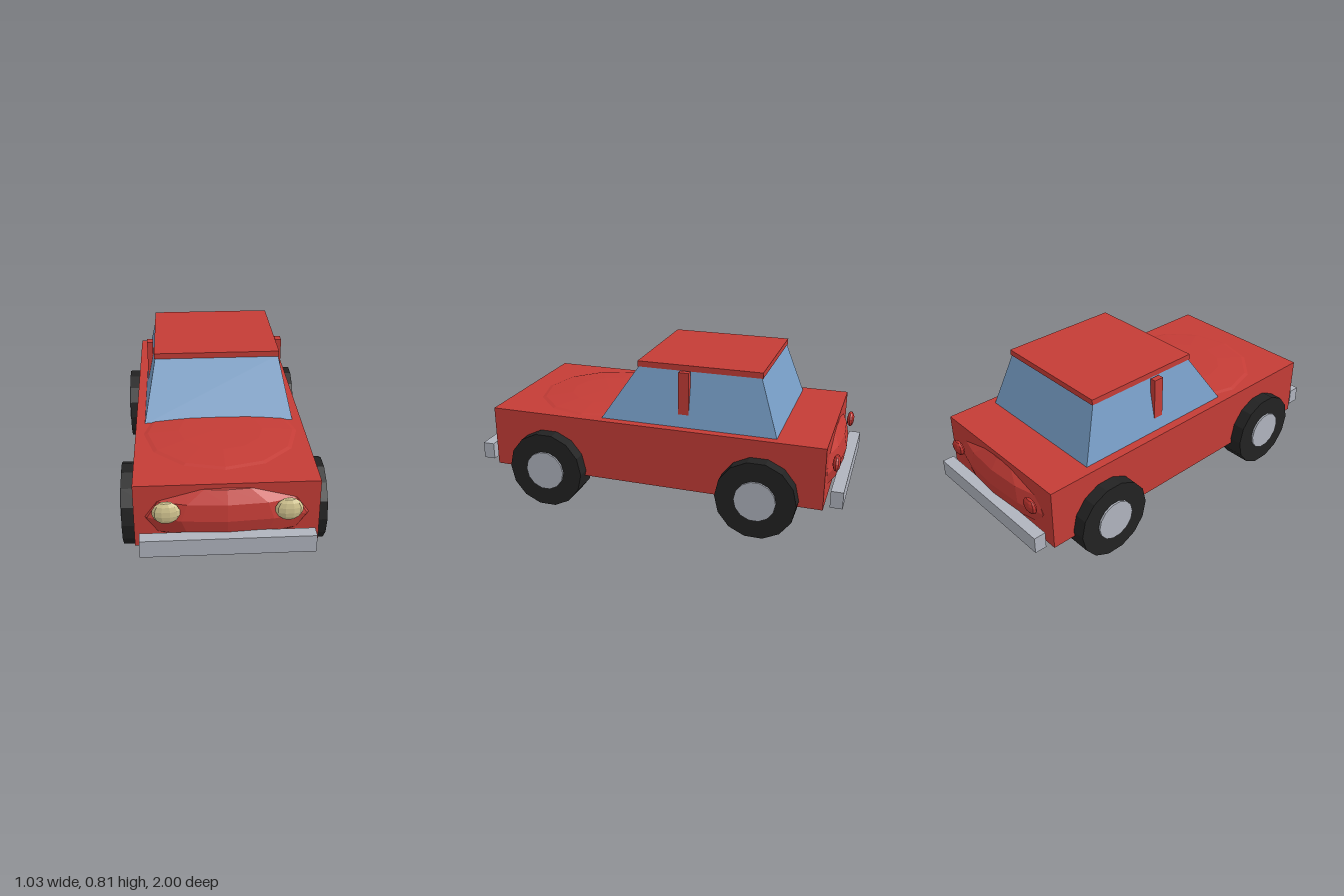
import * as THREE from 'three';

const mat = (name, color) => {
  const m = new THREE.MeshStandardMaterial({ color, flatShading: true });
  m.name = name;
  return m;
};

export function createModel() {
  const red = mat('bodyRed', 0xc43c36);
  const glass = mat('windowBlue', 0x789fc8);
  const rubber = mat('tyreBlack', 0x222222);
  const metal = mat('metalGrey', 0xb0b4be);
  const lamp = mat('lampCream', 0xd8ca94);
  const tail = mat('tailRed', 0xbc332e);

  const car = new THREE.Group();
  car.name = 'car';

  const add = (name, geo, material, x, y, z) => {
    const mesh = new THREE.Mesh(geo, material);
    mesh.name = name;
    mesh.position.set(x, y, z);
    car.add(mesh);
    return mesh;
  };
  // box given by its min and max on each axis
  const box = (name, material, [x0, x1], [y0, y1], [z0, z1]) =>
    add(name, new THREE.BoxGeometry(x1 - x0, y1 - y0, z1 - z0), material,
      (x0 + x1) / 2, (y0 + y1) / 2, (z0 + z1) / 2);
  // faceted ellipsoid
  const blob = (name, material, [x, y, z], [rx, ry, rz], cols = 12, rows = 6) =>
    add(name, new THREE.SphereGeometry(1, cols, rows).scale(rx, ry, rz), material, x, y, z);

  // body with bulging hood, nose and tail
  box('body', red, [-0.435, 0.435], [0.172, 0.5], [-0.907, 0.895]);
  blob('hood', red, [0, 0.49, 0.4], [0.43, 0.031, 0.41]);
  blob('nose', red, [0, 0.335, 0.85], [0.43, 0.16, 0.11]);
  blob('tail', red, [0, 0.335, -0.857], [0.42, 0.16, 0.105]);

  // cabin glass: a box tapered towards the roof
  const cabin = new THREE.BoxGeometry(2, 1, 2);
  const p = cabin.attributes.position;
  for (let i = 0; i < p.count; i++) {
    const top = p.getY(i) > 0, front = p.getZ(i) > 0;
    p.setXYZ(i, Math.sign(p.getX(i)) * (top ? 0.328 : 0.39), top ? 0.79 : 0.495,
      front ? (top ? 0.085 : 0.283) : (top ? -0.555 : -0.657));
  }
  cabin.computeVertexNormals();
  add('cabinGlass', cabin, glass, 0, 0, 0);
  box('roof', red, [-0.333, 0.333], [0.785, 0.815], [-0.563, 0.093]);

  // bumpers
  box('frontBumper', metal, [-0.41, 0.41], [0.181, 0.27], [0.937, 1]);
  box('rearBumper', metal, [-0.41, 0.41], [0.181, 0.27], [-1, -0.937]);

  for (const s of [-1, 1]) {
    const side = s > 0 ? 'left' : 'right';
    // door pillar and lights
    const pillar = box(`${side}Pillar`, red, [0.344, 0.376], [0.565, 0.788], [-0.195, -0.14]);
    pillar.position.x *= s;
    blob(`${side}Headlight`, lamp, [s * 0.284, 0.38, 0.935], [0.066, 0.059, 0.024], 10, 7);
    blob(`${side}TailLight`, tail, [s * 0.315, 0.383, -0.946], [0.051, 0.041, 0.02], 10, 7);

    // wheels
    for (const [end, z] of [['Front', 0.57], ['Rear', -0.58]]) {
      const disc = (r, w) => new THREE.CylinderGeometry(r, r, w, 14).rotateZ(Math.PI / 2);
      add(`${side}${end}Tyre`, disc(0.208, 0.152), rubber, s * 0.427, 0.203, z);
      add(`${side}${end}Hub`, disc(0.107, 0.15), metal, s * 0.438, 0.203, z);
    }
  }
  return car;
}
